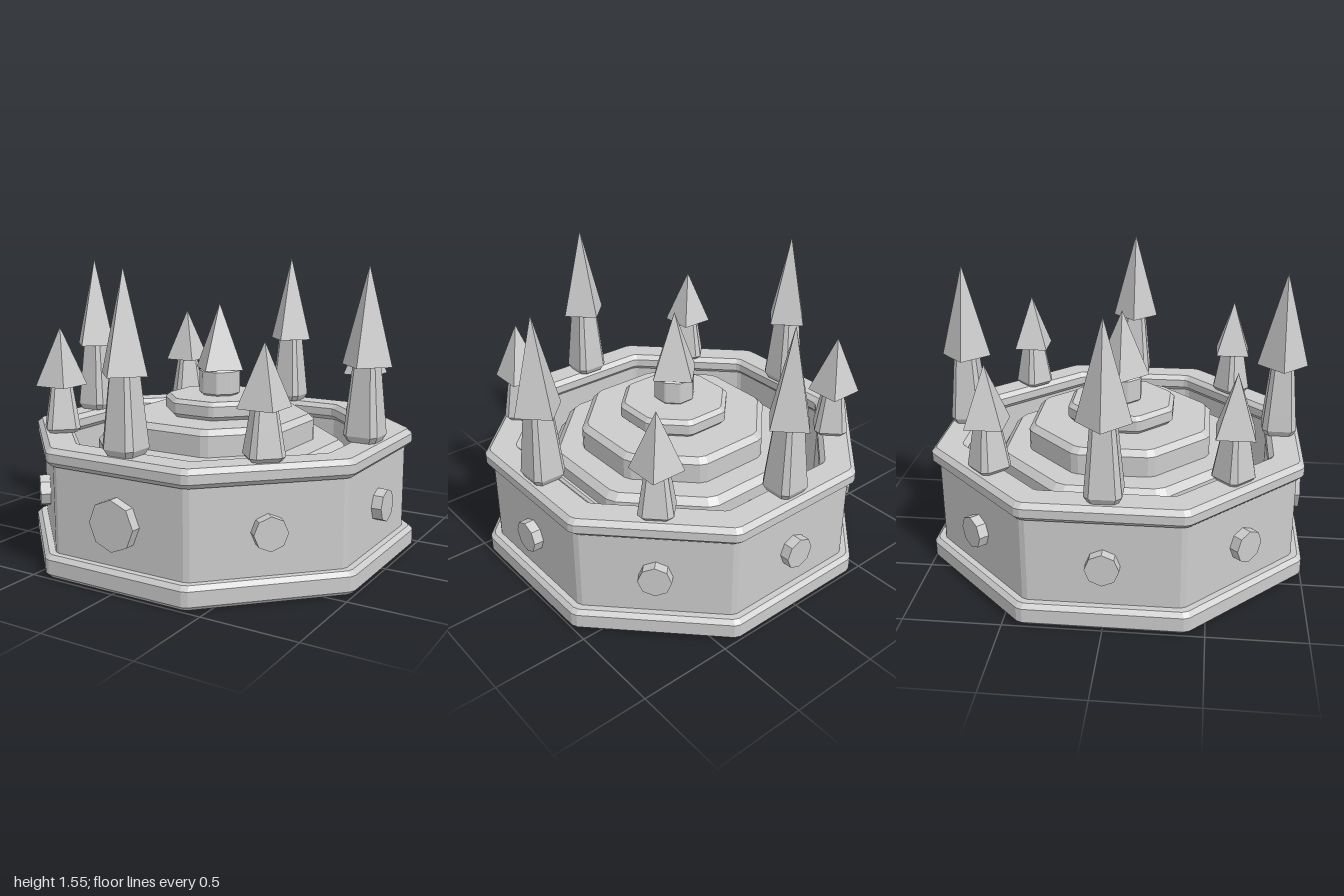
import * as THREE from 'three';

const stone = new THREE.MeshStandardMaterial({ color: 0xcccccc });
stone.name = 'stone grey';

function facet(geometry) {
  const g = geometry.index ? geometry.toNonIndexed() : geometry;
  g.computeVertexNormals();
  return g;
}

function part(name, geometry, parent) {
  const mesh = new THREE.Mesh(facet(geometry), stone);
  mesh.name = name;
  parent.add(mesh);
  return mesh;
}

// Octagon swept from a profile of [apothem, y]; each corner is cut by +-cut radians.
function octagon(profile, cut) {
  const g = new THREE.LatheGeometry(profile.map(([a, y]) => new THREE.Vector2(a, y)), 16);
  const pos = g.attributes.position;
  const n = profile.length;
  for (let i = 0; i < pos.count; i++) {
    const seg = Math.floor(i / n);
    const [apothem, y] = profile[i % n];
    const angle = Math.PI / 8 + Math.floor(seg / 2) * Math.PI / 4 + (seg % 2 ? cut : -cut);
    const r = apothem / Math.cos(Math.PI / 8 - cut);
    pos.setXYZ(i, r * Math.sin(angle), y, r * Math.cos(angle));
  }
  return g;
}

// Closed ring section with bevelled edges
function ring(inner, outer, y0, y1, b) {
  return octagon([
    [inner + b, y0], [outer - b, y0], [outer, y0 + b], [outer, y1 - b],
    [outer - b, y1], [inner + b, y1], [inner, y1 - b], [inner, y0 + b], [inner + b, y0],
  ], 0.015);
}

// Solid slab with bevelled edges
function slab(a, y0, y1, b) {
  return octagon([[0, y0], [a - b, y0], [a, y0 + b], [a, y1 - b], [a - b, y1], [0, y1]], 0.04);
}

// Tapered square post with chamfered corners and a small bevelled foot
function post(bottom, top, height) {
  const c = 0.7;
  const shape = new THREE.Shape([
    [1, -c], [1, c], [c, 1], [-c, 1], [-1, c], [-1, -c], [-c, -1], [c, -1],
  ].map(([x, y]) => new THREE.Vector2(x, y)));
  const g = new THREE.ExtrudeGeometry(shape, { depth: height, steps: 12, bevelEnabled: false });
  g.rotateX(-Math.PI / 2);
  const pos = g.attributes.position;
  for (let i = 0; i < pos.count; i++) {
    const y = pos.getY(i);
    const s = y < 0.001 ? bottom - 0.02 : THREE.MathUtils.lerp(bottom, top, y / height);
    pos.setXYZ(i, pos.getX(i) * s, y, pos.getZ(i) * s);
  }
  return g;
}

export function createModel() {
  const model = new THREE.Group();
  model.name = 'crown';

  // Octagonal wall between two rims
  part('wall', ring(0.825, 0.945, 0.08, 0.6, 0.005), model);
  part('lowerRim', ring(0.785, 1.0, 0, 0.12, 0.022), model);
  part('upperRim', ring(0.80, 0.98, 0.57, 0.665, 0.025), model);

  // Stepped centre
  part('baseTier', slab(0.71, 0.06, 0.49, 0.045), model);
  part('secondTier', slab(0.65, 0.45, 0.59, 0.035), model);
  part('thirdTier', slab(0.49, 0.56, 0.73, 0.03), model);
  part('topTier', slab(0.285, 0.73, 0.83, 0.022), model);
  part('knob', slab(0.105, 0.82, 0.98, 0.02), model);
  const centreTip = part('centreTip', new THREE.ConeGeometry(0.15, 0.36, 4), model);
  centreTip.position.y = 1.15;

  // One spire and one stud on each of the eight sides
  for (let i = 0; i < 8; i++) {
    const side = new THREE.Group();
    side.name = 'side' + (i + 1);
    side.rotation.y = i * Math.PI / 4;
    model.add(side);

    const tall = i % 2 === 0;
    const tipBase = tall ? 1.05 : 0.91;
    const tipHeight = tall ? 0.505 : 0.31;
    const spirePost = part('spirePost', post(tall ? 0.095 : 0.092, tall ? 0.06 : 0.055, tipBase - 0.66), side);
    spirePost.position.set(0, 0.665, 0.865);
    const spireTip = part('spireTip', new THREE.ConeGeometry(0.135, tipHeight, 4), side);
    spireTip.position.set(0, tipBase + tipHeight / 2, 0.865);

    // The front stud is the largest
    const r = i === 0 ? 0.13 : 0.085;
    const stud = part('stud', new THREE.CylinderGeometry(r, r, 0.08, 8), side);
    stud.rotation.x = Math.PI / 2;
    stud.position.set(0, 0.34, 0.958);
  }

  return model;
}
